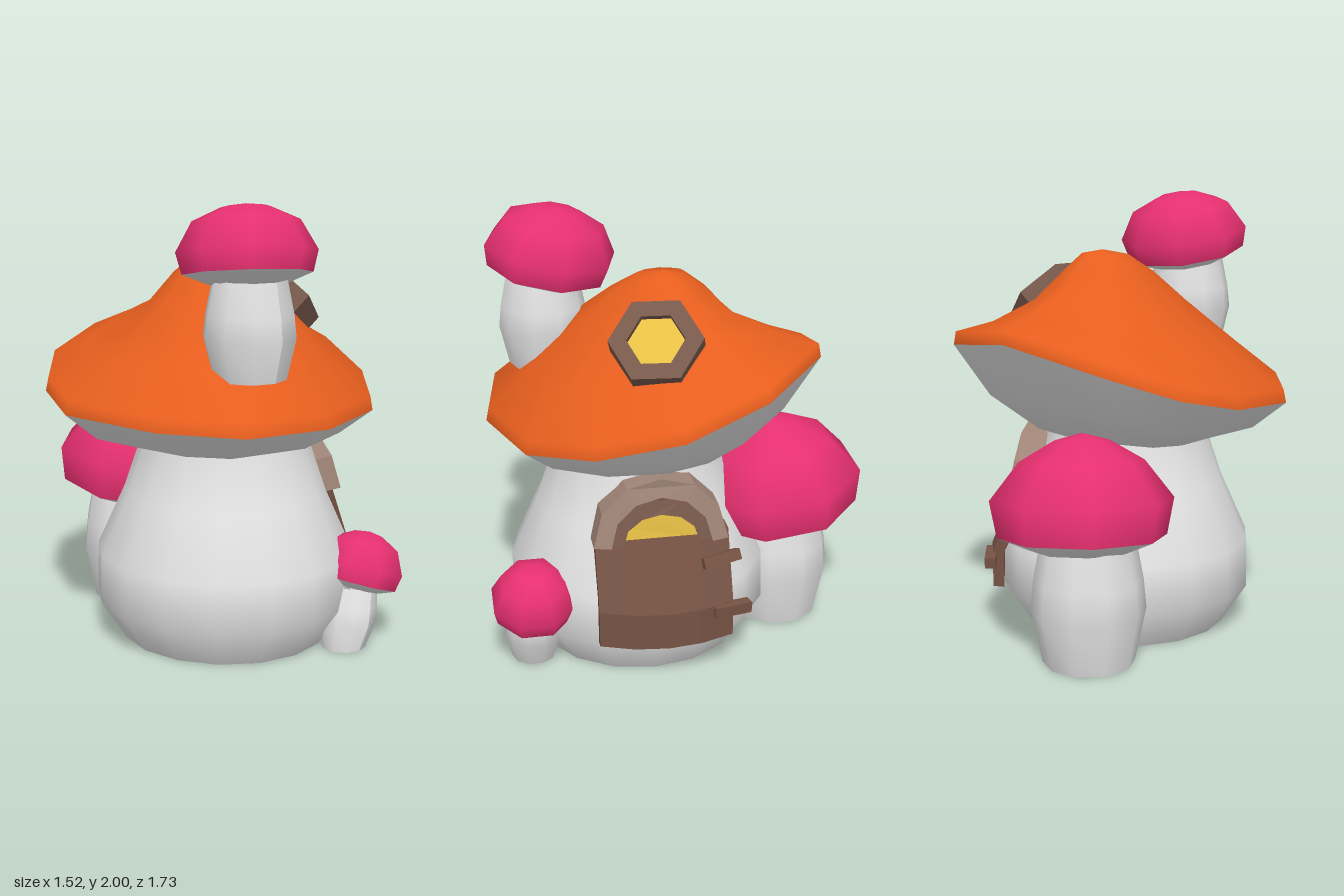
import * as THREE from 'three';

const mat = (name, color, side = THREE.FrontSide) => {
  const m = new THREE.MeshStandardMaterial({ color, side });
  m.name = name;
  return m;
};

export function createModel() {
  const root = new THREE.Group();
  root.name = 'mushroomHouse';
  const white = mat('stemWhite', 0xe4e4e4, THREE.DoubleSide);
  const orange = mat('roofOrange', 0xe65e1e);
  const pink = mat('capPink', 0xe63070);
  const brown = mat('doorBrown', 0x765344);
  const frameBrown = mat('frameBrown', 0x795a4d);
  const stone = mat('archBrown', 0xa08578);
  const yellow = mat('windowYellow', 0xecc446, THREE.DoubleSide);

  const add = (name, geo, material, parent = root) => {
    const m = new THREE.Mesh(geo, material);
    m.name = name;
    parent.add(m);
    return m;
  };
  const lathe = (pts, segs) => new THREE.LatheGeometry(pts.map(p => new THREE.Vector2(...p)), segs);

  // Moves each vertex in x by a rule of its position
  const shiftX = (geo, rule) => {
    const p = geo.attributes.position;
    for (let i = 0; i < p.count; i++) p.setX(i, p.getX(i) + rule(p.getY(i), p.getZ(i)));
    geo.computeVertexNormals();
    return geo;
  };

  // Skin over closed rings listed from bottom to top
  const loft = rings => {
    const n = rings[0].length, pos = rings.flat(2), idx = [];
    for (let r = 0; r < rings.length - 1; r++) {
      for (let i = 0; i < n; i++) {
        const a = r * n + i, b = r * n + (i + 1) % n;
        idx.push(a, b, a + n, b, b + n, a + n);
      }
    }
    const g = new THREE.BufferGeometry();
    g.setAttribute('position', new THREE.Float32BufferAttribute(pos, 3));
    g.setIndex(idx);
    g.computeVertexNormals();
    return g;
  };

  // Round body, open underneath
  const body = add('body', lathe([[0.47, 0], [0.585, 0.18], [0.58, 0.4], [0.455, 0.68], [0.375, 0.92], [0.36, 1.1]], 16), white);
  body.position.set(0.015, 0, 0.16);
  body.scale.z = 1.02;

  // Crooked roof: uneven rim, skinned up to the tip and down to the body
  const rim = [
    [0, 1.07, 0.84], [0.41, 1.07, 0.7], [0.64, 1.12, 0.43], [0.76, 1.22, 0.07],
    [0.7, 1.35, -0.29], [0.36, 1.41, -0.6], [-0.12, 1.29, -0.65], [-0.41, 1.2, -0.58],
    [-0.61, 1.13, -0.35], [-0.76, 1.1, 0.01], [-0.65, 1.09, 0.49], [-0.41, 1.08, 0.78],
  ];
  const tip = [0.1, 1.76, 0.05];
  const upper = (t, rise, frontRise, sideDip) => rim.map(([x, y, z]) => {
    const y0 = y + 0.06, f = rise + frontRise * z - sideDip * Math.max(x, 0);
    return [tip[0] + (x - tip[0]) * t, y0 + (tip[1] - y0) * f, tip[2] + (z - tip[2]) * t];
  });
  add('roof', loft([
    rim, upper(0.985, 0, 0, 0), upper(0.74, 0.23, 0.09, 0.13), upper(0.46, 0.52, 0.16, 0.14),
    upper(0.28, 0.8, 0.05, 0.1), upper(0.14, 0.96, 0, 0), upper(0, 1, 0, 0),
  ]), orange);
  const under = (t, k, c) => rim.map(([x, y, z]) => [x * t, y * k + c, 0.1 + (z - 0.1) * t]);
  add('roofUnderside', loft([under(0.3, 0.1, 0.8), under(0.52, 0.15, 0.74), under(0.8, 0.55, 0.37), rim]), white);

  // Small mushrooms: tilted cap plus a bulging, possibly leaning stem
  const plump = [[0.92, 0], [1, 0.32], [0.76, 0.76], [0.35, 0.95], [0, 1]];
  const pointed = [[0.92, 0], [1, 0.36], [0.68, 0.73], [0.3, 0.93], [0, 1]];
  const mushroom = (name, { profile = plump, cap, r, h, tiltX, tiltZ, spin, foot, stemR, stemH, lean = 0 }) => {
    const g = new THREE.Group();
    g.name = name;
    root.add(g);
    const c = new THREE.Group();
    c.name = name + 'Cap';
    c.position.set(...cap);
    c.rotation.set(tiltX, 0, tiltZ);
    g.add(c);
    add('capTop', lathe(profile.map(([a, b]) => [a * r, b * h]), 8).rotateY(spin), pink, c);
    add('capUnderside', lathe([[0, -0.15 * r], [0.55 * r, -0.15 * r], [0.92 * r, 0]], 8).rotateY(spin), white, c);
    const stem = lathe([[0.8, 0], [1, 0.42], [0.95, 0.65], [0.8, 1]].map(([a, b]) => [a * stemR, b * stemH]), 10);
    add('stem', shiftX(stem, y => lean * y), white, g).position.set(...foot);
  };
  mushroom('roofMushroom', {
    cap: [-0.185, 1.71, 0.525], r: 0.3, h: 0.29, tiltX: -0.16, tiltZ: -0.1, spin: 0.14,
    foot: [-0.195, 1.27, 0.55], stemR: 0.2, stemH: 0.42,
  });
  mushroom('backMushroom', {
    profile: pointed, cap: [0.04, 0.57, -0.51], r: 0.405, h: 0.45, tiltX: 0.13, tiltZ: -0.04, spin: Math.PI / 8,
    foot: [0.015, 0, -0.51], stemR: 0.255, stemH: 0.58,
  });
  mushroom('frontMushroom', {
    cap: [0.35, 0.285, 0.69], r: 0.197, h: 0.23, tiltX: 0, tiltZ: -0.33, spin: Math.PI / 8,
    foot: [0.265, 0, 0.69], stemR: 0.125, stemH: 0.28, lean: 0.25,
  });

  // Door: slab bent over the belly and curved around the body
  const doorShape = new THREE.Shape([
    [0.43, 0.66], [0.59, 0.36], [0.59, 0.19], [0.645, 0.19], [0.645, 0.36], [0.52, 0.66],
  ].map(p => new THREE.Vector2(...p)));
  const door = new THREE.ExtrudeGeometry(doorShape, { depth: 0.6, steps: 4, bevelEnabled: false });
  door.translate(0, 0, -0.3);
  add('door', shiftX(door, (y, z) => -0.8 * z * z), brown).position.z = 0.12;

  // Hinge straps
  for (const [x, y, z, tilt, roll] of [[0.525, 0.55, -0.13, 0.42, 0.06], [0.585, 0.33, -0.17, 0, -0.06]]) {
    const h = add('hinge', new THREE.BoxGeometry(0.05, 0.05, 0.18), brown);
    h.position.set(x, y, z);
    h.rotation.set(roll, 0.28, tilt);
  }

  // Half-round arches over the door, leaning back with the wall
  const arc = (rx, ry) => Array.from({ length: 7 }, (_, i) =>
    new THREE.Vector2(rx * Math.cos(i * Math.PI / 6), ry * Math.sin(i * Math.PI / 6)));
  const archGeo = (pts, front, depth) => {
    const g = new THREE.ExtrudeGeometry(new THREE.Shape(pts), { depth, bevelEnabled: false });
    g.rotateY(Math.PI / 2);
    g.translate(front - depth, 0, 0);
    return shiftX(g, (y, z) => -0.23 * y - 0.55 * z * z);
  };
  const doorTop = new THREE.Group();
  doorTop.name = 'doorArch';
  doorTop.position.set(0, 0.64, 0.13);
  root.add(doorTop);
  add('outerArch', archGeo([...arc(0.3, 0.3), ...arc(0.225, 0.22).reverse()], 0.55, 0.13), stone, doorTop);
  add('innerArch', archGeo([...arc(0.23, 0.225), ...arc(0.17, 0.135).reverse()], 0.525, 0.1), frameBrown, doorTop);
  add('doorWindow', archGeo(arc(0.19, 0.155), 0.508, 0.008), yellow, doorTop);

  // Hexagonal roof window
  const win = new THREE.Group();
  win.name = 'roofWindow';
  win.position.set(0.37, 1.515, 0.125);
  win.lookAt(0.37 + 0.7, 1.515 + 0.69, 0.125 + 0.2);
  root.add(win);
  const hex = r => Array.from({ length: 6 }, (_, i) => {
    const a = i * Math.PI / 3 + 0.07;
    return new THREE.Vector2(r * Math.cos(a), r * Math.sin(a));
  });
  const frame = new THREE.Shape(hex(0.205));
  frame.holes.push(new THREE.Path(hex(0.125)));
  add('windowFrame', new THREE.ExtrudeGeometry(frame, { depth: 0.11, bevelEnabled: false }), frameBrown, win)
    .position.z = -0.05;
  add('windowPane', new THREE.ShapeGeometry(new THREE.Shape(hex(0.14))), yellow, win).position.z = 0.03;

  return root;
}
